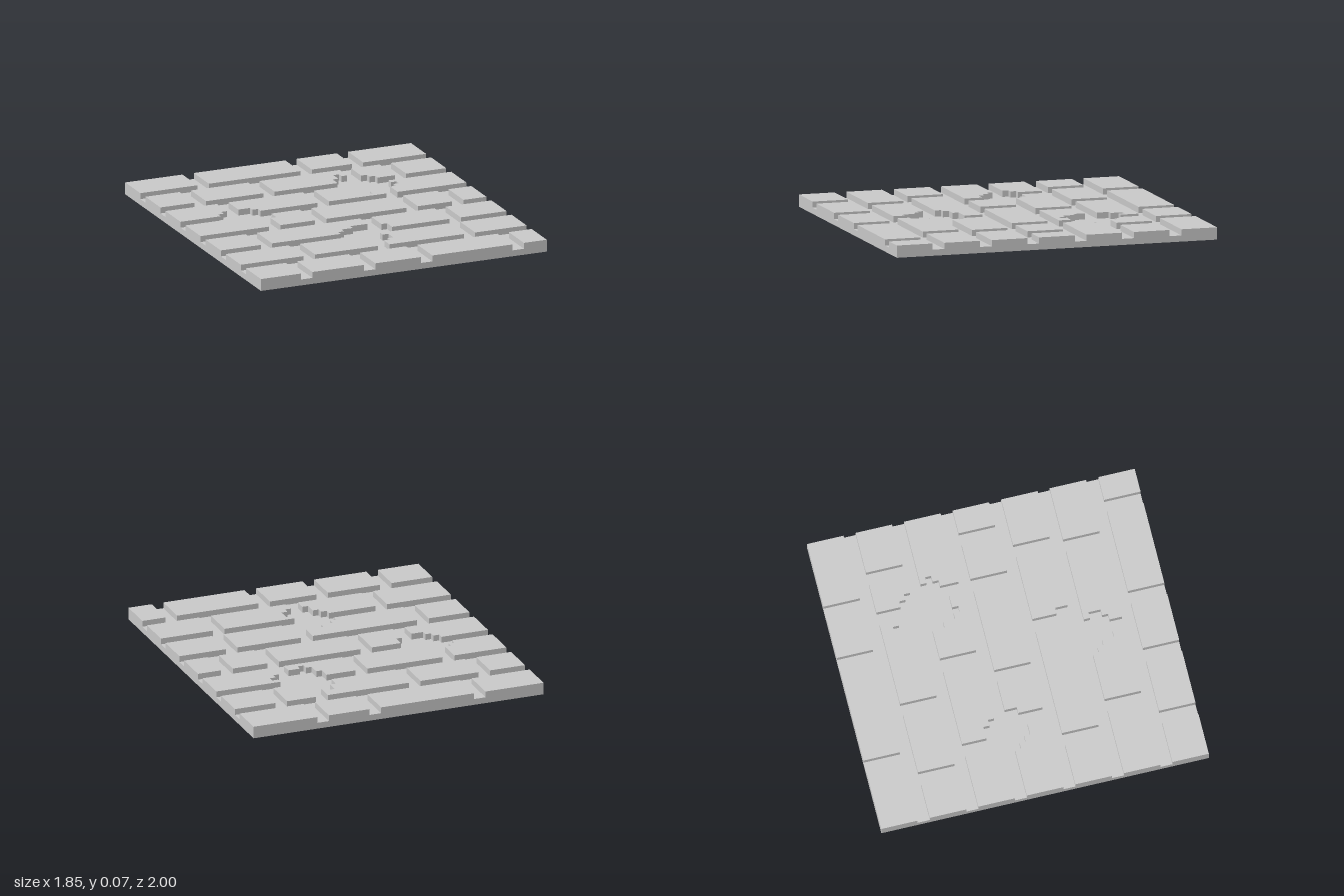
import * as THREE from 'three';

// Everything sits on a square grid: 50 cells wide, 54 deep, 2 cells high.
const CELL = 1 / 27, WIDE = 50, DEEP = 54, BRICK_DEPTH = 6, PITCH = 8;

// Each course is a list of [leftEdge, rightEdge]. A plain number is a straight edge;
// a list is a chipped edge, stepping x, z, x, z, ... from the back to the front.
const COURSES = [
  [[0, 10], [12, 28], [30, 37], [39, 50]],
  [[0, 6], [8, 18], [20, [34, 11, 33, 10, 32, 12, 31]], [[36, 12, 37, 13, 38], 41], [43, 50]],
  [[0, [9, 20, 8, 21, 7]], [[11, 20, 13, 21, 14], 24],
    [26, [31, 18, 32, 20, 33, 21, 34, 20, 36]], [[39, 17, 40, 18, 39, 19, 38], 50]],
  [[0, [8, 25, 9, 26, 10, 27, 12]], [[15, 26, 14], 20], [22, 36], [38, 44], [46, 50]],
  [[0, 7], [9, [27, 35, 24, 36, 22, 37, 21]], [[29, 36, 30], 40], [42, 50]],
  [[0, 11], [13, [21, 41, 22, 42, 23, 44, 24]], [[27, 41, 28, 43, 27, 44, 26], 39], [41, 50]],
  [[0, 7], [9, 18], [20, 28], [30, 44], [46, 50]],
];

// Turns an edge into corner points running from z0 (back) to z1 (front).
function edgePoints(edge, z0, z1) {
  const steps = [].concat(edge);
  let x = steps[0];
  const points = [[x, z0]];
  for (let i = 1; i < steps.length; i += 2) {
    points.push([x, steps[i]]);
    x = steps[i + 1];
    points.push([x, steps[i]]);
  }
  points.push([x, z1]);
  return points;
}

function brickGeometry(left, right, z0) {
  const z1 = z0 + BRICK_DEPTH;
  const outline = [...edgePoints(left, z0, z1), ...edgePoints(right, z0, z1).reverse()];
  const shape = new THREE.Shape(outline.map(([x, z]) =>
    new THREE.Vector2((x - WIDE / 2) * CELL, (DEEP / 2 - z) * CELL)));
  return new THREE.ExtrudeGeometry(shape, { depth: CELL, bevelEnabled: false })
    .rotateX(-Math.PI / 2)
    .translate(0, CELL, 0);
}

export function createModel() {
  const model = new THREE.Group();
  model.name = 'brickPanel';
  const material = new THREE.MeshStandardMaterial({ color: 0xcccccc, flatShading: true });

  // Mortar slab under all the bricks
  const slab = new THREE.Mesh(new THREE.BoxGeometry(WIDE * CELL, CELL, DEEP * CELL), material);
  slab.name = 'mortarSlab';
  slab.position.y = CELL / 2;
  model.add(slab);

  // Raised bricks, course by course from back to front
  COURSES.forEach((bricks, row) => {
    const course = new THREE.Group();
    course.name = `brickCourse${row + 1}`;
    bricks.forEach(([left, right], i) => {
      const brick = new THREE.Mesh(brickGeometry(left, right, row * PITCH), material);
      brick.name = `brick${i + 1}`;
      course.add(brick);
    });
    model.add(course);
  });

  return model;
}
